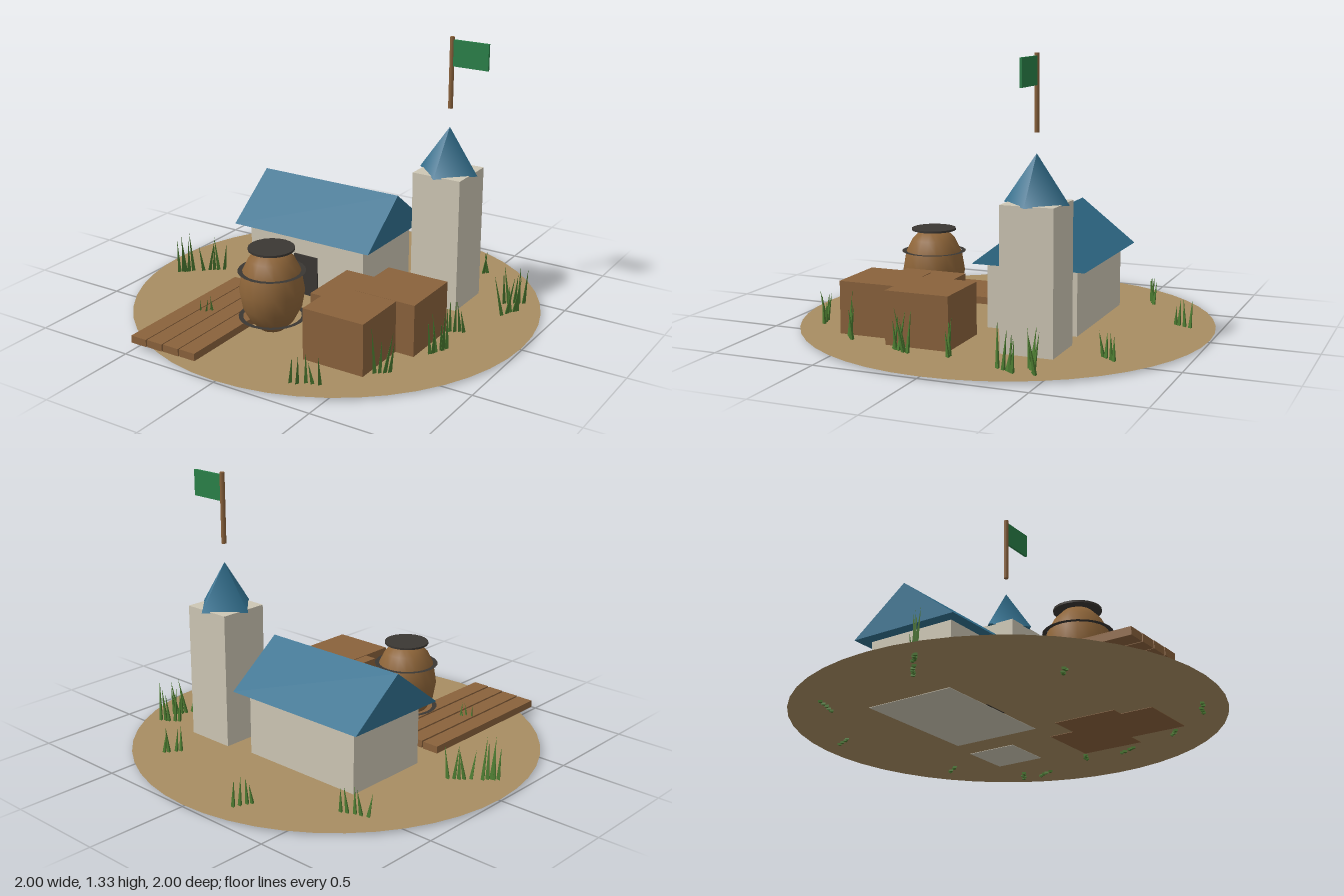
import * as THREE from 'three';

const mat = (name, color, double = false) => {
  const m = new THREE.MeshStandardMaterial({ color });
  m.name = name;
  if (double) m.side = THREE.DoubleSide;
  return m;
};

export function createModel() {
  const model = new THREE.Group();
  model.name = 'village';
  const earth = mat('earth', 0xa88d62, true);
  const plaster = mat('plaster', 0xcdc6b4);
  const roofBlue = mat('roofBlue', 0x31708f);
  const wood = mat('wood', 0x8a623c);
  const barrelWood = mat('barrelWood', 0x8e6539, true);
  const iron = mat('iron', 0x3b3733, true);
  const flagGreen = mat('flagGreen', 0x2a7f48);
  const grassGreen = mat('grassGreen', 0x4b7a30);

  const add = (name, geo, material, x = 0, y = 0, z = 0, parent = model) => {
    const m = new THREE.Mesh(geo, material);
    m.name = name;
    m.position.set(x, y, z);
    parent.add(m);
    return m;
  };
  // Box from its minimum and maximum corners
  const box = (name, material, x0, x1, y0, y1, z0, z1) =>
    add(name, new THREE.BoxGeometry(x1 - x0, y1 - y0, z1 - z0), material,
      (x0 + x1) / 2, (y0 + y1) / 2, (z0 + z1) / 2);

  // Flat round ground
  add('ground', new THREE.CircleGeometry(1, 48).rotateX(-Math.PI / 2), earth, 0, 0.01, 0);

  // House with gabled roof and door
  box('houseWalls', plaster, -0.49, 0.172, 0.008, 0.328, -0.415, 0.035);
  const gable = new THREE.Shape([
    new THREE.Vector2(-0.28, 0), new THREE.Vector2(0.28, 0), new THREE.Vector2(0, 0.215),
  ]);
  const roofGeo = new THREE.ExtrudeGeometry(gable, { depth: 0.78, bevelEnabled: false });
  roofGeo.translate(0, 0, -0.39).rotateY(Math.PI / 2);
  add('houseRoof', roofGeo, roofBlue, -0.16, 0.326, -0.19);
  box('door', iron, -0.225, -0.09, 0.01, 0.22, 0.035, 0.043);

  // Tower, pointed roof, pole and flag
  box('tower', plaster, 0.31, 0.562, 0.008, 0.675, -0.441, -0.189);
  add('towerRoof', new THREE.ConeGeometry(0.155, 0.222, 4), roofBlue, 0.437, 0.781, -0.315);
  add('flagPole', new THREE.CylinderGeometry(0.012, 0.012, 0.345, 8), wood, 0.437, 1.157, -0.315);
  box('flag', flagGreen, 0.44, 0.628, 1.19, 1.317, -0.321, -0.309);

  // Crates
  box('crateBack', wood, 0.31, 0.626, 0.008, 0.262, 0.03, 0.343);
  box('crateLeft', wood, 0.155, 0.47, 0.008, 0.258, 0.155, 0.468);
  box('crateFront', wood, 0.218, 0.532, 0.008, 0.261, 0.312, 0.627);

  // Planks
  for (let i = 0; i < 4; i++) {
    const x = -0.514 + i * 0.093, y = 0.028 + i * 0.002;
    box('plank', wood, x, x + 0.085, y, y + 0.036, 0.152, 0.94);
  }

  // Barrel with flat hoops and lid
  const barrel = new THREE.Group();
  barrel.name = 'barrel';
  barrel.position.set(-0.082, 0, 0.435);
  model.add(barrel);
  const profile = [[0, 0.012], [0.06, 0.014], [0.105, 0.06], [0.14, 0.125], [0.155, 0.21],
    [0.14, 0.3], [0.108, 0.365], [0.065, 0.408], [0, 0.41]];
  add('barrelBody', new THREE.LatheGeometry(profile.map(p => new THREE.Vector2(...p)), 18),
    barrelWood, 0, 0, 0, barrel);
  for (const y of [0.075, 0.305]) {
    add('hoop', new THREE.RingGeometry(0.138, 0.16, 24).rotateX(-Math.PI / 2), iron, 0, y, 0, barrel);
  }
  add('lid', new THREE.CylinderGeometry(0.11, 0.11, 0.01, 20), iron, 0, 0.415, 0, barrel);

  // Grass tufts: x, z, height, spread in x, spread in z, blade count
  let seed = 7;
  const rand = () => (seed = (seed * 16807) % 2147483647) / 2147483647;
  const tufts = [
    [-0.2, -0.82, 0.16, 0.02, 0.045, 4], [-0.62, -0.55, 0.14, 0.06, 0.02, 5],
    [-0.74, 0.04, 0.19, 0.04, 0.03, 5], [-0.85, 0.13, 0.23, 0.025, 0.025, 5],
    [-0.385, 0.55, 0.14, 0.025, 0.015, 4], [0.35, 0.81, 0.16, 0.06, 0.02, 5],
    [0.58, 0.54, 0.23, 0.025, 0.02, 4], [0.69, 0.23, 0.23, 0.02, 0.045, 6],
    [0.67, 0.005, 0.18, 0.03, 0.02, 4], [0.46, -0.66, 0.15, 0.025, 0.035, 4],
    [0.76, -0.425, 0.22, 0.04, 0.03, 5], [0.79, -0.31, 0.22, 0.02, 0.04, 5],
  ];
  for (const [x, z, h, sx, sz, count] of tufts) {
    const tuft = new THREE.Group();
    tuft.name = 'grassTuft';
    tuft.position.set(x, 0, z);
    model.add(tuft);
    for (let i = 0; i < count; i++) {
      const t = (i / (count - 1)) * 2 - 1;
      const height = h * (0.65 + 0.35 * rand());
      const geo = new THREE.ConeGeometry(0.012, height, 3).toNonIndexed();
      geo.computeVertexNormals();
      geo.translate(0, height / 2, 0);
      // Lean each blade by shearing it, keeping its foot level
      const dx = (rand() - 0.5) * 0.35, dz = (rand() - 0.5) * 0.3;
      geo.applyMatrix4(new THREE.Matrix4().set(1, dx, 0, 0, 0, 1, 0, 0, 0, dz, 1, 0, 0, 0, 0, 1));
      add('grassBlade', geo, grassGreen, t * sx, 0, -t * sz + (rand() - 0.5) * 0.02, tuft);
    }
  }
  return model;
}
